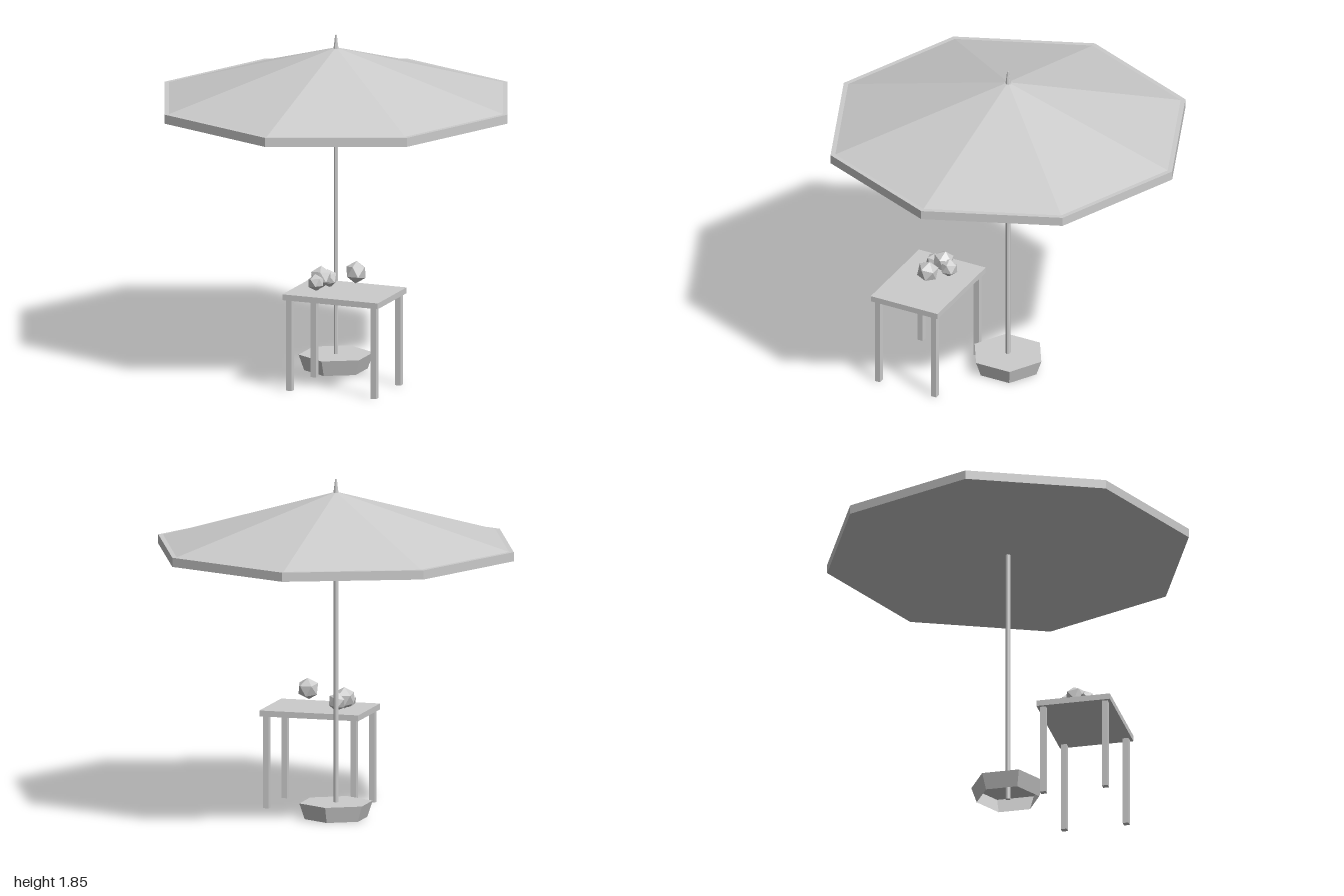
import * as THREE from 'three';

export function createModel() {
  const root = new THREE.Group();
  root.name = 'parasolWithTable';
  const mat = new THREE.MeshStandardMaterial({ color: 0xcccccc, flatShading: true });
  const openMat = mat.clone();
  openMat.side = THREE.DoubleSide;

  const add = (parent, name, geo, x, y, z, material = mat) => {
    const mesh = new THREE.Mesh(geo, material);
    mesh.name = name;
    mesh.position.set(x, y, z);
    parent.add(mesh);
    return mesh;
  };
  // upright cylinder or cone between two heights
  const column = (parent, name, rTop, rBottom, y0, y1, sides, open = false) =>
    add(parent, name, new THREE.CylinderGeometry(rTop, rBottom, y1 - y0, sides, 1, open),
      0, (y0 + y1) / 2, 0, open ? openMat : mat);

  // Parasol: octagonal canopy, edge band, pole, finial
  const parasol = new THREE.Group();
  parasol.name = 'parasol';
  root.add(parasol);
  column(parasol, 'canopy', 0.02, 0.973, 1.5, 1.776, 8);
  column(parasol, 'canopyBand', 1, 1, 1.45, 1.5, 8);
  column(parasol, 'pole', 0.013, 0.013, 0, 1.46, 8);
  column(parasol, 'finial', 0.005, 0.015, 1.77, 1.85, 8);

  // Hexagonal foot, hollow underneath
  column(parasol, 'footWall', 0.203, 0.173, 0, 0.087, 6, true);
  const lid = new THREE.CircleGeometry(0.203, 6, Math.PI / 2).rotateX(-Math.PI / 2);
  add(parasol, 'footTop', lid, 0, 0.087, 0, openMat);

  // Side table
  const table = new THREE.Group();
  table.name = 'sideTable';
  table.position.set(0.206, 0, 0.377);
  root.add(table);
  add(table, 'tableTop', new THREE.BoxGeometry(0.556, 0.032, 0.406), 0, 0.519, 0);
  for (const sx of [-1, 1])
    for (const sz of [-1, 1])
      add(table, 'tableLeg', new THREE.BoxGeometry(0.032, 0.503, 0.032), sx * 0.246, 0.2515, sz * 0.171);

  // Faceted fruit: one apart, three heaped together
  const fruit = new THREE.Group();
  fruit.name = 'fruit';
  root.add(fruit);
  const toFront = new THREE.Quaternion().setFromUnitVectors(
    new THREE.Vector3(1, 1, 1).normalize(), new THREE.Vector3(0, 0, 1));
  const pieces = [ // x, y, z, radius, turn
    [0.262, 0.638, 0.35, 0.061, 0],
    [0.062, 0.595, 0.36, 0.061, 0.3],
    [0.057, 0.577, 0.42, 0.046, 0.9],
    [0.088, 0.58, 0.312, 0.051, 1.7],
  ];
  for (const [x, y, z, r, turn] of pieces) {
    const geo = new THREE.IcosahedronGeometry(r, 0).applyQuaternion(toFront).rotateZ(0.396);
    add(fruit, 'fruitPiece', geo, x, y, z).rotation.y = turn;
  }
  return root;
}
